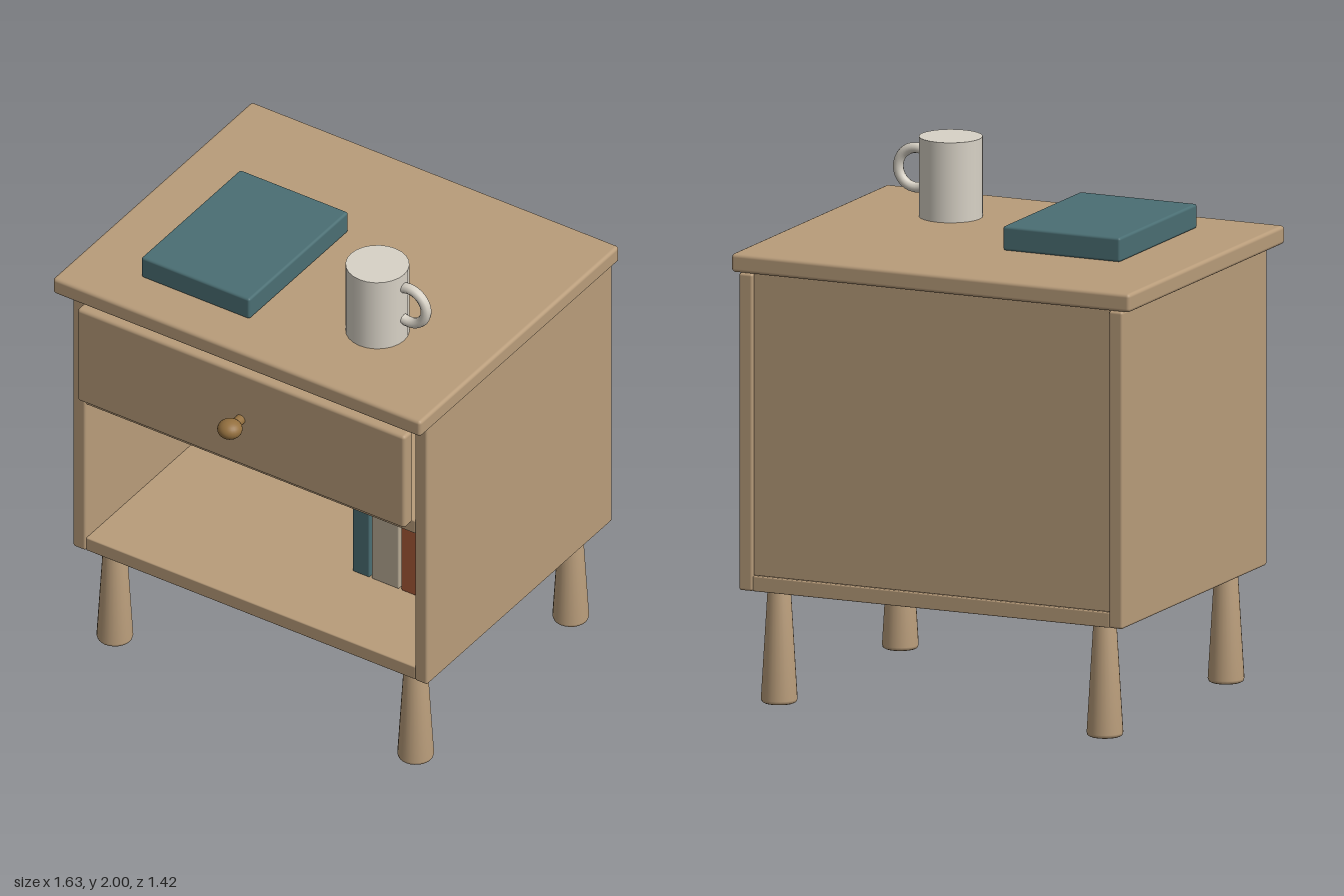
import * as THREE from 'three';
import { RoundedBoxGeometry } from 'three/addons/geometries/RoundedBoxGeometry.js';

const paint = (color) => new THREE.MeshStandardMaterial({ color });

export function createModel() {
  const model = new THREE.Group();
  const wood = paint(0xb89c7a);
  const brass = paint(0x94703f);
  const teal = paint(0x4a6e73);
  const cream = paint(0xb8ab95);
  const rust = paint(0xa85a38);
  const ceramic = paint(0xd8d2c6);

  function add(name, geometry, material, x = 0, y = 0, z = 0, parent = model) {
    const mesh = new THREE.Mesh(geometry, material);
    mesh.name = name;
    mesh.position.set(x, y, z);
    parent.add(mesh);
    return mesh;
  }

  // Softened board given by its limits on each axis
  function board(name, [x0, x1], [y0, y1], [z0, z1], material = wood, radius = 0.01) {
    const geometry = new RoundedBoxGeometry(x1 - x0, y1 - y0, z1 - z0, 2, radius);
    return add(name, geometry, material, (x0 + x1) / 2, (y0 + y1) / 2, (z0 + z1) / 2);
  }

  // Cabinet
  board('top', [-0.815, 0.815], [1.628, 1.698], [-0.707, 0.62], wood, 0.014);
  board('leftSide', [0.728, 0.785], [0.43, 1.628], [-0.705, 0.53]);
  board('rightSide', [-0.785, -0.728], [0.43, 1.628], [-0.705, 0.53]);
  board('bottomBoard', [-0.73, 0.73], [0.43, 0.488], [-0.7, 0.525], wood, 0.005);
  board('middleShelf', [-0.73, 0.73], [1.097, 1.155], [-0.68, 0.525], wood, 0.005);
  board('topRail', [-0.73, 0.73], [1.57, 1.628], [-0.68, 0.515], wood, 0.005);
  board('backPanel', [-0.73, 0.73], [0.488, 1.628], [-0.69, -0.66], wood, 0.004);

  // Drawer front with its knob
  board('drawerFront', [-0.726, 0.726], [1.157, 1.577], [0.533, 0.592], wood, 0.014);
  const stem = add('knobStem', new THREE.CylinderGeometry(0.02, 0.02, 0.07, 16), brass, 0, 1.366, 0.61);
  stem.rotation.x = Math.PI / 2;
  const knob = add('knob', new THREE.SphereGeometry(0.047, 24, 16), brass, 0, 1.366, 0.663);
  knob.scale.y = 0.78;

  // Legs that widen towards a rounded foot
  const legProfile = [[0, 0], [0.058, 0], [0.065, 0.004], [0.068, 0.014], [0.043, 0.43], [0, 0.43]]
    .map(([r, y]) => new THREE.Vector2(r, y));
  const legGeometry = new THREE.LatheGeometry(legProfile, 24);
  for (const [end, z] of [['front', 0.427], ['back', -0.605]]) {
    for (const [hand, x] of [['Left', 0.666], ['Right', -0.666]]) {
      add(`${end}${hand}Leg`, legGeometry, wood, x, 0, z);
    }
  }

  // Books standing on the lower board
  const books = [
    [0.205, 0.28, 0.94, teal],
    [0.288, 0.41, 1.0, cream],
    [0.42, 0.52, 0.94, rust],
    [0.53, 0.605, 1.0, teal],
  ];
  books.forEach(([x0, x1, y1, material], i) => {
    board(`standingBook${i + 1}`, [x0, x1], [0.488, y1], [-0.33, 0.155], material, 0.006);
  });

  // Book lying on the top
  board('flatBook', [-0.545, -0.065], [1.698, 1.79], [-0.225, 0.435], teal, 0.01);

  // Mug with a ring handle
  const mug = new THREE.Group();
  mug.name = 'mug';
  mug.position.set(0.363, 1.698, 0.226);
  model.add(mug);
  add('mugBody', new THREE.CylinderGeometry(0.118, 0.118, 0.302, 24), ceramic, 0, 0.151, 0, mug);
  const handle = new THREE.TorusGeometry(0.075, 0.02, 10, 28, 4.4);
  handle.rotateZ(-2.2);
  add('mugHandle', handle, ceramic, 0.14, 0.17, 0, mug);

  return model;
}
